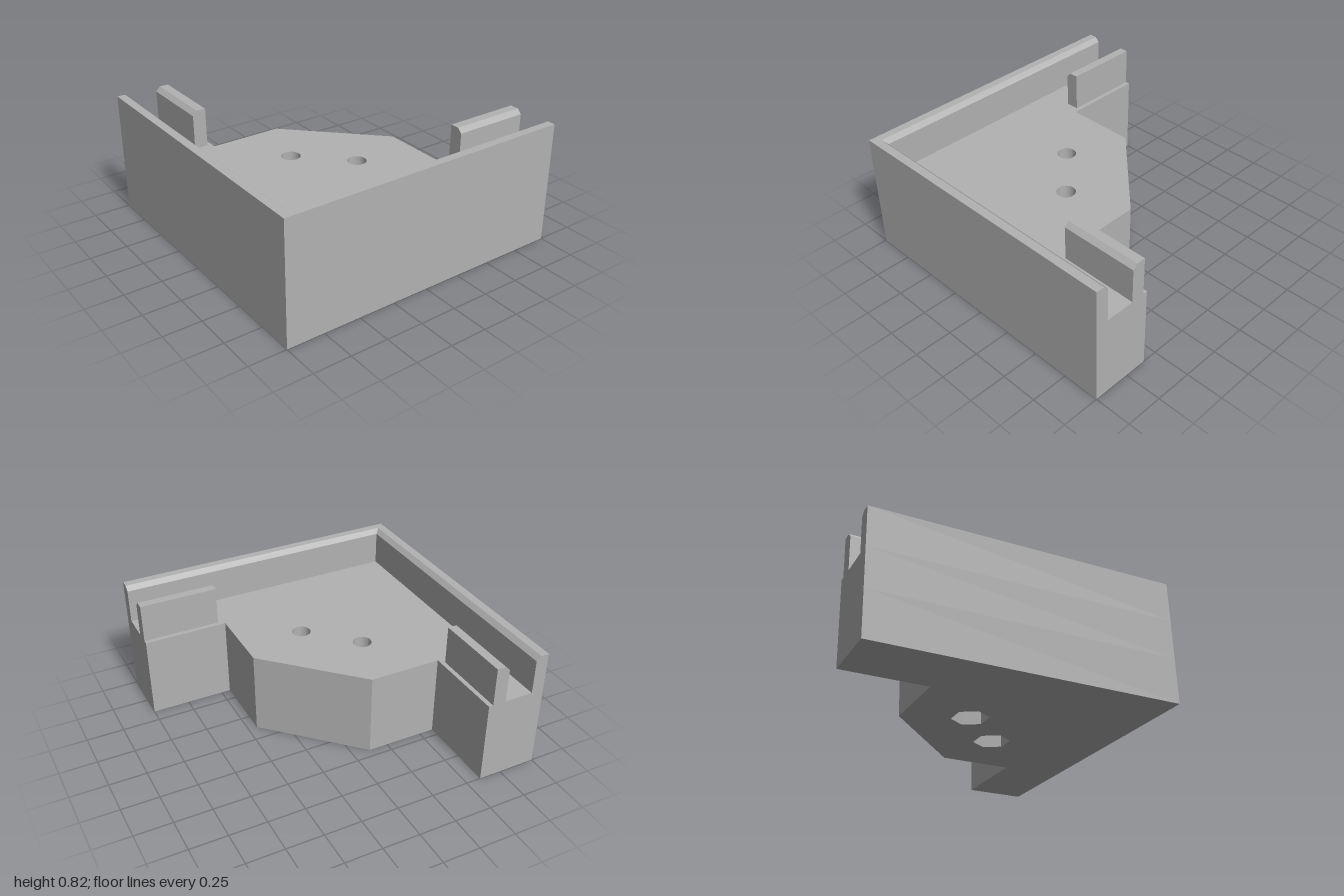
import * as THREE from 'three';

const FLOOR = 0.56, TOP = 0.82, CHAMFER = 0.03, HEX_DEPTH = 0.3;
const HOLES = [[-0.275, -0.03], [0.025, 0.27]];

// Plan outline of the corner block as x, z pairs
const OUTLINE = [
  [-1, 1], [1, 1], [1, 0.6], [0.44, 0.6], [0.44, 0.12],
  [-0.12, -0.44], [-0.6, -0.44], [-0.6, -1], [-1, -1],
];

const toShape = (pts) => new THREE.Shape(pts.map(([x, y]) => new THREE.Vector2(x, y)));

// Slab of the block with a polygonal hole at each screw position
function slab(y0, y1, radius, sides) {
  const shape = toShape(OUTLINE.map(([x, z]) => [x, -z]));
  for (const [cx, cz] of HOLES) {
    const ring = [];
    for (let i = 0; i < sides; i++) {
      const a = (i / sides) * Math.PI * 2;
      ring.push(new THREE.Vector2(cx + radius * Math.cos(a), -cz + radius * Math.sin(a)));
    }
    shape.holes.push(new THREE.Path(ring));
  }
  return new THREE.ExtrudeGeometry(shape, { depth: y1 - y0, bevelEnabled: false })
    .rotateX(-Math.PI / 2).translate(0, y0, 0);
}

// Strip along the front; profile is (distance from front face, height)
function strip(profile, startX) {
  const geo = new THREE.ExtrudeGeometry(toShape(profile), { depth: 1, bevelEnabled: false });
  const p = geo.attributes.position;
  for (let i = 0; i < p.count; i++) {
    const d = p.getX(i), t = p.getZ(i);
    p.setXYZ(i, t < 0.5 ? startX(d) : 1, p.getY(i), 1 - d);
  }
  geo.computeVertexNormals();
  return geo;
}

// Mirror a strip across the diagonal: (x, z) -> (-z, -x), restoring the winding
function mirrorDiagonal(source) {
  const geo = source.clone();
  const a = source.attributes.position, p = geo.attributes.position;
  for (let i = 0; i < p.count; i++) {
    const j = i % 3 === 0 ? i : i % 3 === 1 ? i + 1 : i - 1;
    p.setXYZ(i, -a.getZ(j), a.getY(j), -a.getX(j));
  }
  geo.computeVertexNormals();
  return geo;
}

export function createModel() {
  const group = new THREE.Group();
  const grey = new THREE.MeshStandardMaterial({ color: 0xb2b2b2 });
  grey.name = 'plain grey';
  const add = (name, geo) => {
    const mesh = new THREE.Mesh(geo, grey);
    mesh.name = name;
    group.add(mesh);
  };

  // Block: hexagonal nut pockets below, round screw holes above
  add('lowerBlock', slab(0, HEX_DEPTH, 0.12, 6));
  add('upperBlock', slab(HEX_DEPTH, FLOOR, 0.062, 32));

  // Outer walls, chamfered inside and mitred at the corner
  const wall = strip([
    [0, FLOOR], [0.085, FLOOR], [0.085, TOP - CHAMFER], [0.085 - CHAMFER, TOP], [0, TOP],
  ], (d) => -1 + d);
  add('frontWall', wall);
  add('rightWall', mirrorDiagonal(wall));

  // Short inner rails, chamfered towards the slot
  const rail = strip([
    [0.28, FLOOR], [0.37, FLOOR], [0.37, TOP], [0.28 + CHAMFER, TOP], [0.28, TOP - CHAMFER],
  ], () => 0.48);
  add('frontRail', rail);
  add('rightRail', mirrorDiagonal(rail));

  return group;
}
